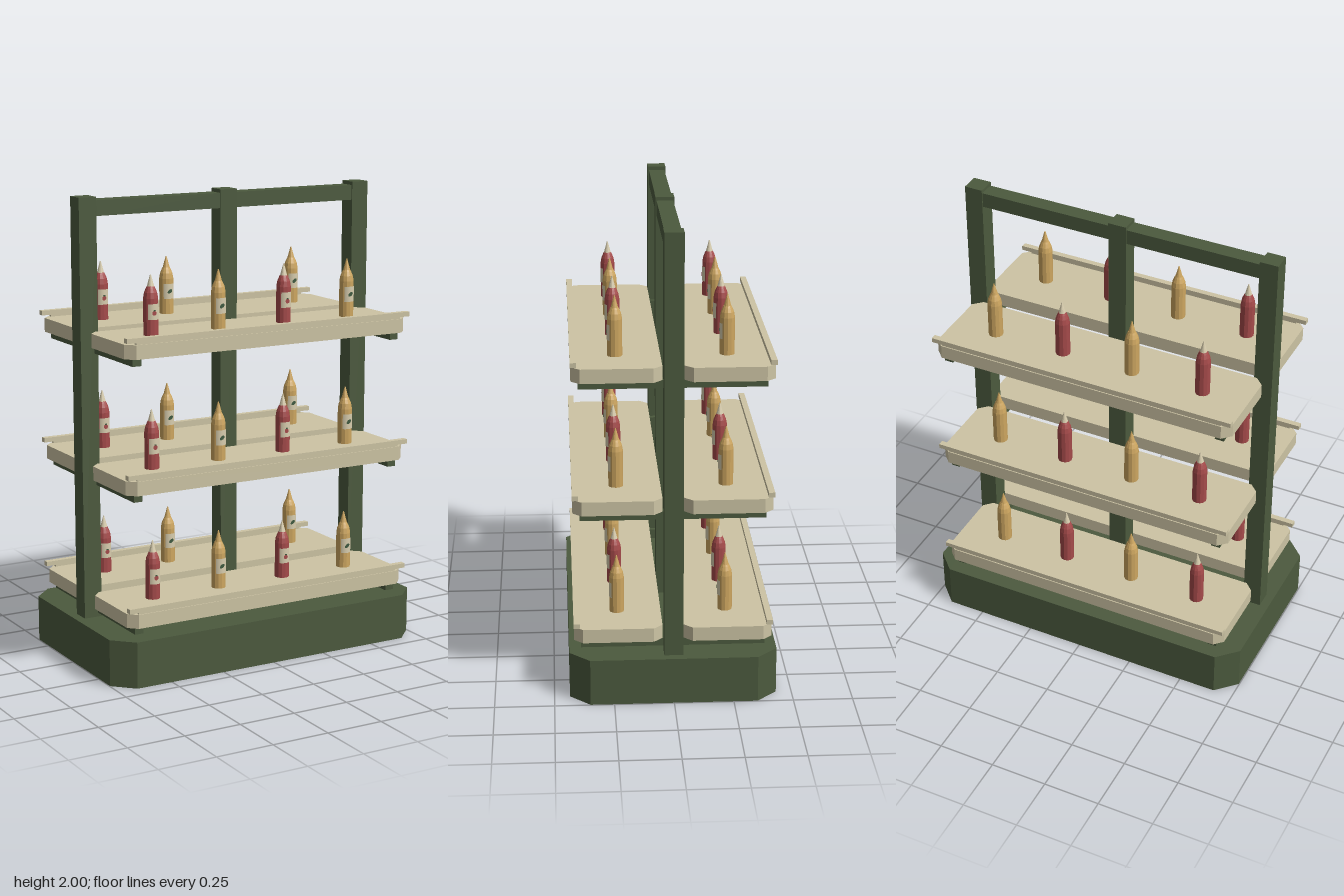
import * as THREE from 'three';

const mat = (name, color) => {
  const m = new THREE.MeshStandardMaterial({ color });
  m.name = name;
  return m;
};

export function createModel() {
  const green = mat('frame green', 0x4c5a3e);
  const cream = mat('shelf cream', 0xcdc4a4);
  const red = mat('bottle red', 0xa54a4a);
  const yellow = mat('bottle yellow', 0xcda660);
  const tipCream = mat('tip cream', 0xd8cdae);
  const leaf = mat('emblem green', 0x3f5a40);

  const root = new THREE.Group();
  root.name = 'displayShelf';

  const add = (parent, name, geo, material, x = 0, y = 0, z = 0) => {
    const m = new THREE.Mesh(geo, material);
    m.name = name;
    m.position.set(x, y, z);
    parent.add(m);
    return m;
  };
  const box = (parent, name, material, w, h, d, x, y, z) =>
    add(parent, name, new THREE.BoxGeometry(w, h, d), material, x, y, z);

  // Slab with its four vertical corners cut off, bottom at y = 0
  const chamferedSlab = (w, h, d, c) => {
    const a = w / 2, b = d / 2;
    const pts = [[-a + c, -b], [a - c, -b], [a, -b + c], [a, b - c],
      [a - c, b], [-a + c, b], [-a, b - c], [-a, -b + c]];
    const shape = new THREE.Shape(pts.map(([x, y]) => new THREE.Vector2(x, y)));
    return new THREE.ExtrudeGeometry(shape, { depth: h, bevelEnabled: false }).rotateX(-Math.PI / 2);
  };
  const faceted = (geo) => {
    const g = geo.toNonIndexed();
    g.computeVertexNormals();
    return g;
  };

  // Base, uprights and top rails
  add(root, 'base', chamferedSlab(1.495, 0.2, 0.87, 0.085), green);
  for (const x of [-0.669, 0, 0.669]) box(root, 'post', green, 0.08, 1.8, 0.08, x, 1.1, 0);
  for (const s of [-1, 1]) box(root, 'topRail', green, 0.59, 0.065, 0.07, s * 0.335, 1.9525, 0);

  // Squeeze bottle geometries, shared by all bottles
  const bodyGeo = faceted(new THREE.LatheGeometry(
    [[0, 0], [0.031, 0], [0.031, 0.155], [0.027, 0.178], [0.02, 0.195], [0.016, 0.203], [0, 0.203]]
      .map(([x, y]) => new THREE.Vector2(x, y)), 12));
  const tipGeo = faceted(new THREE.CylinderGeometry(0.002, 0.016, 0.052, 12));
  const arc = 1.7;
  const labelGeo = new THREE.CylinderGeometry(0.0325, 0.0325, 0.066, 8, 1, true, -arc / 2, arc);
  const dotGeo = new THREE.CircleGeometry(0.01, 12);
  const leafGeo = new THREE.CircleGeometry(0.006, 8);

  const bottle = (isRed) => {
    const g = new THREE.Group();
    g.name = isRed ? 'redBottle' : 'yellowBottle';
    add(g, 'bottleBody', bodyGeo, isRed ? red : yellow);
    add(g, 'nozzle', tipGeo, isRed ? tipCream : yellow, 0, 0.226, 0);
    add(g, 'label', labelGeo, tipCream, 0, 0.1, 0);
    if (isRed) {
      add(g, 'fruitEmblem', dotGeo, red, 0, 0.095, 0.0335);
      add(g, 'fruitLeaf', leafGeo, leaf, 0, 0.106, 0.034).scale.set(1, 0.5, 1);
    } else {
      const e = add(g, 'leafEmblem', dotGeo, leaf, 0, 0.1, 0.0335);
      e.scale.set(1.3, 0.8, 1);
      e.rotation.z = 0.6;
    }
    return g;
  };

  // Three tiers, each with a front and a back tray
  const boardGeo = chamferedSlab(1.36, 0.06, 0.37, 0.037);
  [0.31, 0.875, 1.44].forEach((top) => {
    const tier = new THREE.Group();
    tier.name = 'shelfTier';
    tier.position.y = top;
    root.add(tier);

    // Brackets running under both trays
    for (const s of [-1, 1]) box(tier, 'bracket', green, 0.04, 0.034, 0.77, s * 0.626, -0.076, 0);

    for (const s of [-1, 1]) {
      add(tier, 'board', boardGeo, cream, 0, -0.06, s * 0.229);
      box(tier, 'lipStem', cream, 1.28, 0.012, 0.015, 0, 0.005, s * 0.402);
      box(tier, 'lip', cream, 1.37, 0.02, 0.026, 0, 0.019, s * 0.403);
      [-0.48, -0.16, 0.16, 0.48].forEach((x, i) => {
        const b = bottle(i % 2 === 0);
        b.position.set(x, 0, s * 0.23);
        tier.add(b);
      });
    }
  });

  return root;
}
